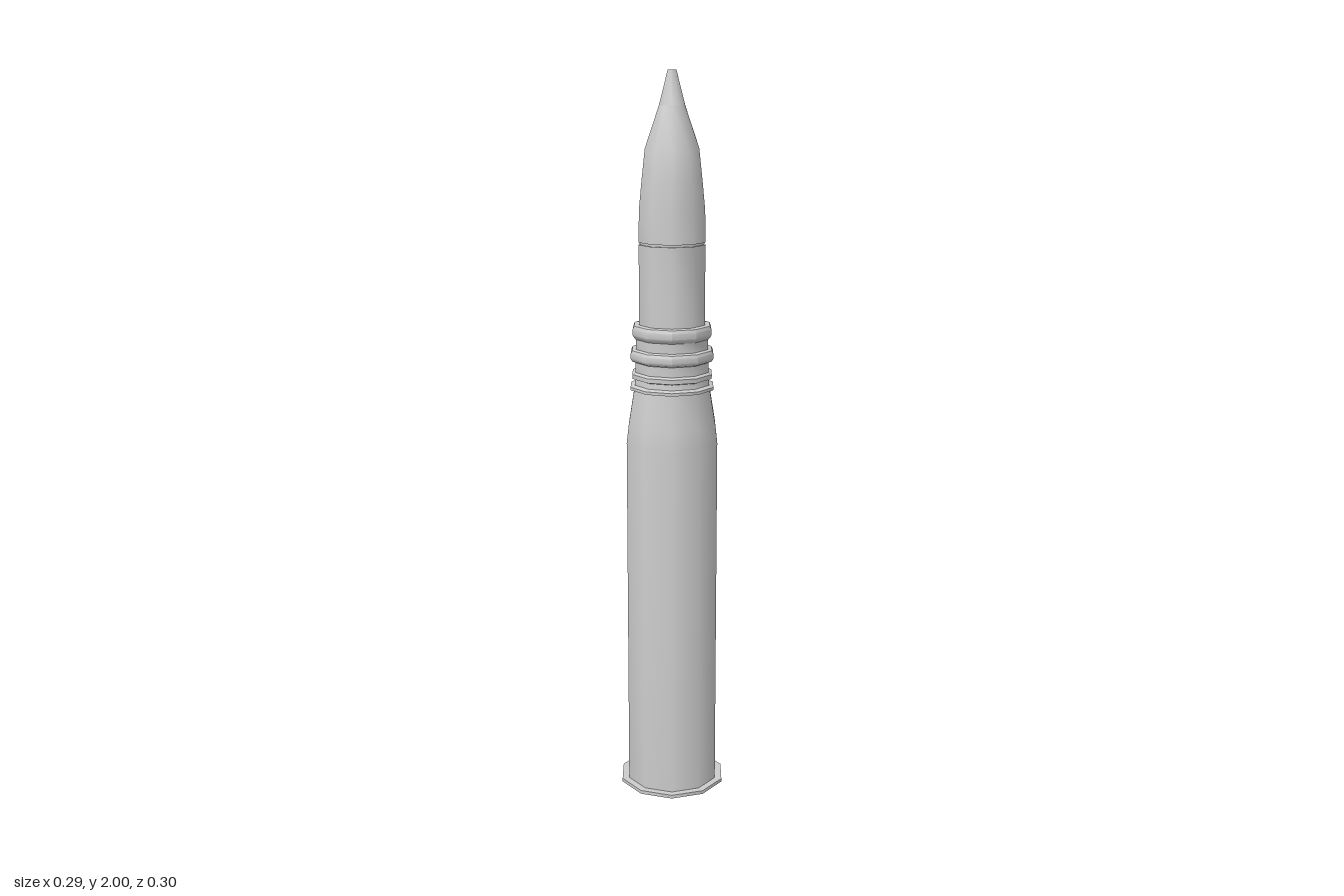
import * as THREE from 'three';
import { toCreasedNormals } from 'three/addons/utils/BufferGeometryUtils.js';

const SIDES = 10;
const material = new THREE.MeshStandardMaterial({ color: 0xcccccc, side: THREE.DoubleSide });

// Ten-sided turned part from [radius, height] pairs, listed bottom to top
function turned(name, profile) {
  const points = profile.map(([r, y]) => new THREE.Vector2(r, y));
  const geometry = toCreasedNormals(new THREE.LatheGeometry(points, SIDES), 0.7);
  const mesh = new THREE.Mesh(geometry, material);
  mesh.name = name;
  return mesh;
}

export function createModel() {
  const group = new THREE.Group();
  group.name = 'cartridge';

  // Flat extractor rim under the case
  group.add(turned('rim', [[0, 0], [0.15, 0], [0.15, 0.01], [0.13, 0.01]]));

  // Straight case body with a tapered shoulder
  group.add(turned('case', [[0.13, 0.01], [0.13, 1.01], [0.124, 1.06], [0.108, 1.155]]));

  // Ribbed collar: thin flange, small rib, then two wide ribs
  group.add(turned('collar', [
    [0.108, 1.155], [0.118, 1.157], [0.118, 1.165], [0.106, 1.17],
    [0.104, 1.185], [0.113, 1.188], [0.113, 1.2], [0.104, 1.205],
    [0.104, 1.232], [0.113, 1.236], [0.117, 1.243], [0.117, 1.257], [0.113, 1.265],
    [0.102, 1.268], [0.102, 1.295], [0.107, 1.3], [0.111, 1.307],
    [0.111, 1.323], [0.107, 1.332], [0.093, 1.334],
  ]));

  // Cylindrical shell with a fine groove below the nose
  group.add(turned('shell', [
    [0.093, 1.334], [0.093, 1.549], [0.088, 1.549], [0.088, 1.555], [0.093, 1.555],
  ]));

  // Curved nose
  group.add(turned('nose', [
    [0.093, 1.555], [0.092, 1.64], [0.084, 1.72], [0.075, 1.8], [0.036, 1.91],
  ]));

  // Blunt fuse tip
  group.add(turned('tip', [[0.036, 1.91], [0.012, 2], [0, 2]]));

  return group;
}
